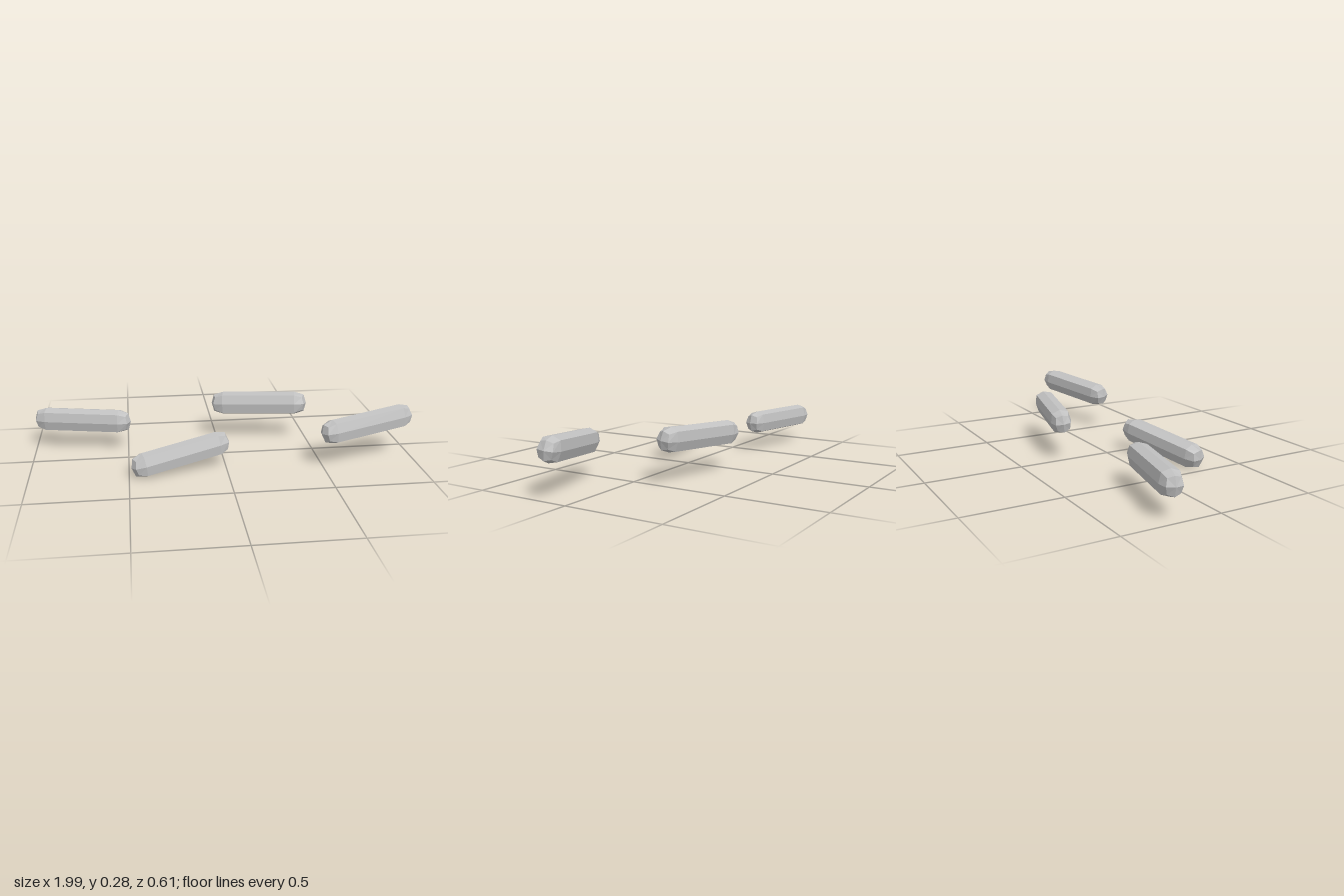
import * as THREE from 'three';

const HALF = 0.265; // half length of a pellet along its axis

// Rounded-square octagon (z, y): even entries are side middles, odd ones corners
const SECTION = [
  [0.054, 0], [0.043, 0.049], [0, 0.063], [-0.043, 0.049],
  [-0.054, 0], [-0.043, -0.049], [0, -0.063], [0.043, -0.049],
];

// Ring of eight points; corners may sit further back than side middles
function ring(x, scale, cornerDrop) {
  return SECTION.map(([z, y], i) => {
    const corner = i % 2 === 1;
    return [x - Math.sign(x) * (corner ? cornerDrop : 0), y * scale, z * scale];
  });
}

// Long pellet with faceted, softly rounded ends, built from cross-sections
function pelletGeometry() {
  const rings = [
    ring(-HALF + 0.013, 0.74, 0.01),
    ring(-HALF + 0.065, 1, 0),
    ring(HALF - 0.065, 1, 0),
    ring(HALF - 0.013, 0.74, 0.01),
  ];
  const positions = [];
  const tri = (a, b, c) => positions.push(...a, ...b, ...c);
  for (let i = 0; i < 8; i++) {
    const j = (i + 1) % 8;
    for (let k = 0; k < 3; k++) {
      const [a, b] = [rings[k], rings[k + 1]];
      tri(a[i], b[i], b[j]);
      tri(a[i], b[j], a[j]);
    }
    tri([-HALF, 0, 0], rings[0][i], rings[0][j]);
    tri([HALF, 0, 0], rings[3][j], rings[3][i]);
  }
  const geometry = new THREE.BufferGeometry();
  geometry.setAttribute('position', new THREE.Float32BufferAttribute(positions, 3));
  geometry.computeVertexNormals();
  return geometry;
}

export function createModel() {
  const group = new THREE.Group();
  group.name = 'scatteredPellets';

  const grey = new THREE.MeshStandardMaterial({ color: 0xc0c0c0, flatShading: true });
  grey.name = 'light grey';
  const geometry = pelletGeometry();

  // Centre, rise and depth change per unit of x, and roll about the long axis
  const pellets = [
    { name: 'backRightPellet', at: [-0.74, 0.158, -0.18], rise: 0, depth: 0.22, roll: 0 },
    { name: 'frontRightPellet', at: [-0.233, 0.09, 0.2], rise: 0.14, depth: -0.27, roll: -0.14 },
    { name: 'backLeftPellet', at: [0.235, 0.206, -0.209], rise: 0.035, depth: 0.225, roll: -0.12 },
    { name: 'frontLeftPellet', at: [0.741, 0.205, 0.185], rise: 0.08, depth: -0.27, roll: -0.14 },
  ];
  for (const p of pellets) {
    const mesh = new THREE.Mesh(geometry, grey);
    mesh.name = p.name;
    mesh.position.set(...p.at);
    mesh.rotation.set(p.roll, -Math.atan(p.depth), Math.atan(p.rise), 'YZX');
    group.add(mesh);
  }
  return group;
}
